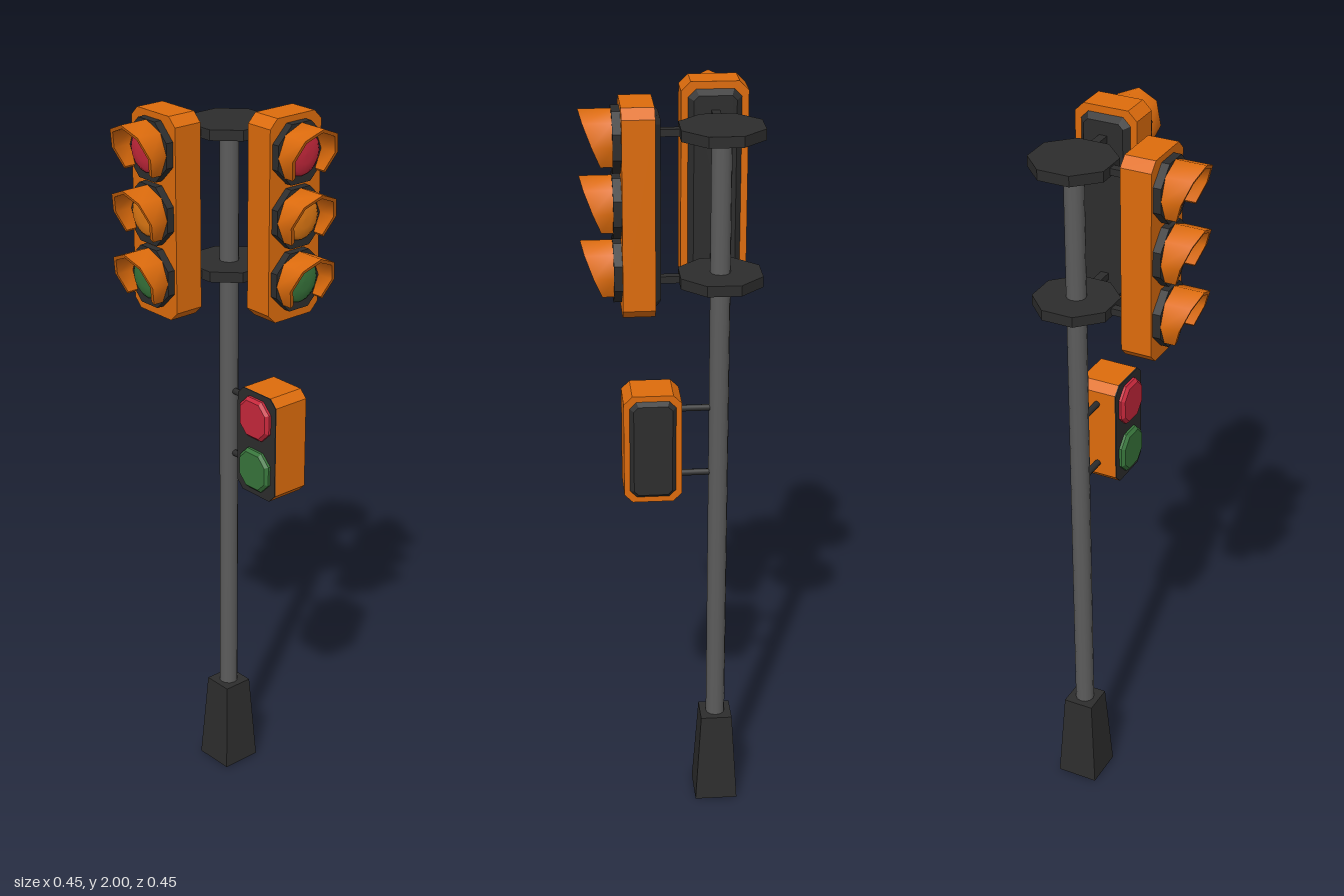
import * as THREE from 'three';
import { toCreasedNormals } from 'three/addons/utils/BufferGeometryUtils.js';

const mat = (name, color) => Object.assign(new THREE.MeshStandardMaterial({ color }), { name });

export function createModel() {
  const orange = mat('housing orange', 0xde6c0c);
  const dark = mat('dark metal', 0x2d2d2d);
  const grey = mat('pole grey', 0x5c5c5c);
  const red = mat('red lamp', 0xc8283c);
  const amber = mat('amber lamp', 0xe67c14);
  const green = mat('green lamp', 0x38763c);

  const root = new THREE.Group();
  root.name = 'trafficLight';
  const add = (parent, name, geometry, material, x = 0, y = 0, z = 0) => {
    const mesh = new THREE.Mesh(geometry, material);
    mesh.name = name;
    mesh.position.set(x, y, z);
    parent.add(mesh);
    return mesh;
  };

  // Rectangle with cut corners, extruded along z; an optional bevel tapers both ends
  const slab = (w, h, cut, depth, bevelSize = 0, bevelThickness = 0) => {
    const a = w / 2 - bevelSize, b = h / 2 - bevelSize;
    const shape = new THREE.Shape([
      [a - cut, -b], [a, cut - b], [a, b - cut], [a - cut, b],
      [cut - a, b], [-a, b - cut], [-a, cut - b], [cut - a, -b],
    ].map(([x, y]) => new THREE.Vector2(x, y)));
    const geometry = new THREE.ExtrudeGeometry(shape, {
      depth: depth - 2 * bevelThickness, bevelEnabled: bevelSize > 0,
      bevelSize, bevelThickness, bevelSegments: 1,
    });
    return geometry.translate(0, 0, bevelThickness);
  };

  // Eight-sided hood, open at the bottom, with a slanted front edge
  const visorGeometry = () => {
    const section = (i) => {
      const a = (i - 3) * Math.PI / 4;
      const point = (r, front) => {
        const y = r * Math.cos(a);
        return [r * Math.sin(a), y, front ? 0.196 + 0.39 * y : 0.145];
      };
      return [point(0.077, false), point(0.077, true), point(0.067, true), point(0.067, false)];
    };
    const positions = [];
    const quad = (a, b, c, d) => positions.push(...a, ...b, ...c, ...a, ...c, ...d);
    for (let i = 0; i < 6; i++) {
      const s = section(i), t = section(i + 1);
      for (let k = 0; k < 4; k++) {
        const n = (k + 1) % 4;
        quad(s[k], s[n], t[n], t[k]);
      }
    }
    quad(...section(0).reverse());
    quad(...section(6));
    const geometry = new THREE.BufferGeometry();
    geometry.setAttribute('position', new THREE.Float32BufferAttribute(positions, 3));
    return toCreasedNormals(geometry, 0.9);
  };

  // Everything is laid out around the pole's axis
  const post = new THREE.Group();
  post.name = 'post';
  post.position.set(-0.125, 0, -0.125);
  root.add(post);

  add(post, 'pole', new THREE.CylinderGeometry(0.026, 0.026, 1.92, 12), grey, 0, 0.96, 0);
  const foot = new THREE.CylinderGeometry(0.0425 * Math.SQRT2, 0.058 * Math.SQRT2, 0.258, 4)
    .rotateY(Math.PI / 4).toNonIndexed();
  foot.computeVertexNormals();
  add(post, 'base', foot, dark, 0, 0.131, 0);

  // Mounting discs
  const armHeights = [1.922, 1.545];
  for (const y of armHeights) {
    const disc = new THREE.CylinderGeometry(0.112, 0.112, 0.028, 8).rotateY(Math.PI / 8).toNonIndexed();
    disc.computeVertexNormals();
    add(post, 'mountingDisc', disc, dark, 0, y, 0);
  }

  // Three-lamp heads, the second turned a quarter round the pole
  const lampProfile = [[0.057, 0.14], [0.057, 0.15], [0.047, 0.158], [0.025, 0.162], [0, 0.163]]
    .map(([r, z]) => new THREE.Vector2(r, z));
  const lampGeometry = new THREE.LatheGeometry(lampProfile, 16).rotateX(Math.PI / 2);
  const rimGeometry = new THREE.CylinderGeometry(0.0833, 0.0833, 0.022, 8)
    .rotateY(Math.PI / 8).rotateX(Math.PI / 2).toNonIndexed();
  rimGeometry.computeVertexNormals();
  const visor = visorGeometry();
  const lamps = [['redLamp', red, 1.907], ['amberLamp', amber, 1.741], ['greenLamp', green, 1.575]];

  for (const turn of [0, Math.PI / 2]) {
    const head = new THREE.Group();
    head.name = turn ? 'sideSignal' : 'frontSignal';
    head.rotation.y = turn;
    post.add(head);
    const face = new THREE.Group();
    face.name = 'signalHead';
    face.position.z = 0.125;
    head.add(face);
    add(face, 'housing', slab(0.171, 0.532, 0.024, 0.081), orange, 0, 1.734, 0.044);
    add(face, 'backPlate', slab(0.136, 0.494, 0.012, 0.04, 0.014, 0.015), dark, 0, 1.734, 0.029);
    for (const [name, colour, y] of lamps) {
      add(face, 'lampRim', rimGeometry, dark, 0, y, 0.135);
      add(face, name, lampGeometry, colour, 0, y, 0);
      add(face, 'visor', visor, orange, 0, y, 0);
    }
    for (const y of armHeights) {
      add(head, 'arm', new THREE.BoxGeometry(0.022, 0.018, 0.08), dark, 0, y, 0.125);
    }
  }

  // Pedestrian signal beside the pole
  const walk = new THREE.Group();
  walk.name = 'pedestrianSignal';
  walk.position.set(0.05, 1.097, 0);
  root.add(walk);
  add(walk, 'walkHousing', slab(0.15, 0.3, 0.022, 0.106), orange, 0, 0, -0.178);
  add(walk, 'walkFrontPanel', slab(0.15, 0.3, 0.022, 0.003), dark, 0, 0, -0.072);
  add(walk, 'walkBackPlate', slab(0.12, 0.27, 0.012, 0.03, 0.01, 0.012), dark, 0, 0, -0.19);
  for (const [name, colour, y] of [['stopLamp', red, 0.077], ['walkLamp', green, -0.073]]) {
    add(walk, name, slab(0.114, 0.114, 0.025, 0.03, 0.008, 0.008), colour, 0, y, -0.084);
  }
  for (const y of [0.091, -0.094]) {
    const arm = new THREE.CylinderGeometry(0.009, 0.009, 0.12, 8).rotateZ(Math.PI / 2);
    add(walk, 'walkArm', arm, dark, -0.115, y, -0.125);
  }
  return root;
}
